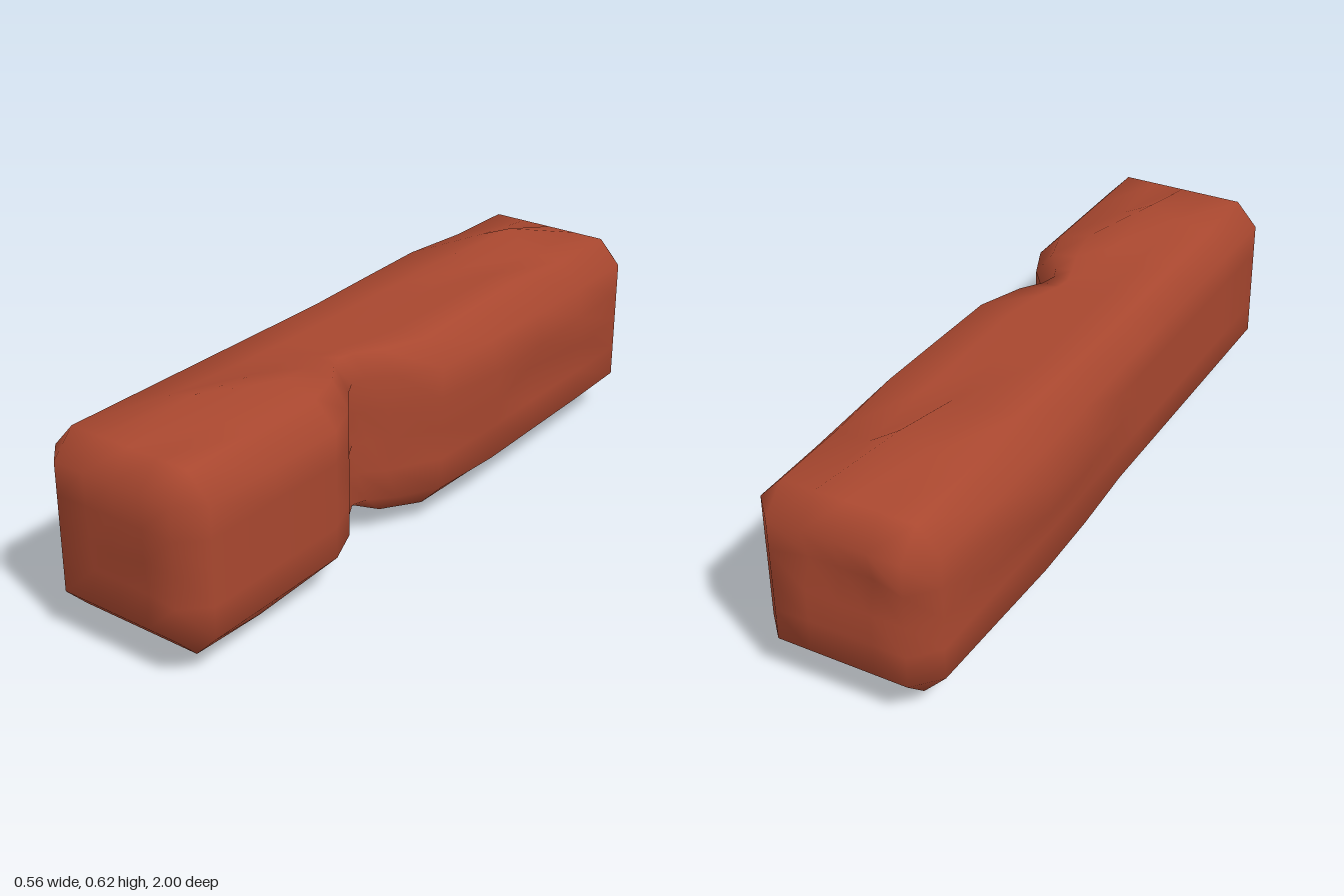
import * as THREE from 'three';
import { mergeVertices } from 'three/addons/utils/BufferGeometryUtils.js';

const LEVELS = [0.13, 0.22, 0.31, 0.4, 0.49]; // heights of the side points
const ACROSS = [0.185, 0.09, 0, -0.09, -0.185]; // x of the top points

// Bulge of the sides by level, from the bottom up
const RIGHT = [0.45, 0.2, 1, 0.9, 0.1];
const DENTED = [0.45, 0.1, -0.9, 1.1, 0.2];
const LEFT = [0.45, 0.1, 0.8, 1, 0.1];

// Swell of the top and bottom, from +x to -x
const FLAT = [0, 0, 0, 0, 0];
const PEAK = [0, 0, 1, 0.4, 0];
const SHOULDER = [0, 1, 0.6, 0.2, 0];
const EDGES = [1, 0.5, 0.6, 0.5, 1];
const KEEL = [0.1, 0.4, 1, 0.4, 0.1];
const TWIN = [0.15, 1, 0.05, 1, 0.15];

// Rings along the bar, front to back: z, limit of the +x side, lift of the
// notch floor, and [amount, weights] for the sides, top and bottom
const STATIONS = [
  { z: 0.92 },
  { z: 0.69, top: [0.045, PEAK], bottom: [0.06, TWIN] },
  { z: 0.46, top: [0.026, SHOULDER] },
  { z: 0.35, limit: 0.205, lift: 0.025, top: [0.012, SHOULDER] },
  { z: 0.28, limit: 0.14, lift: 0.045, top: [0.008, SHOULDER] },
  { z: 0.235, limit: 0.115, lift: 0.05 },
  { z: 0.19, limit: 0.13, lift: 0.045 },
  { z: 0.13, limit: 0.185, lift: 0.02 },
  { z: 0 },
  { z: -0.23, right: [0.03, RIGHT], left: [0.024, LEFT], top: [0.008, EDGES], bottom: [0.042, KEEL] },
  { z: -0.46, right: [0.022, DENTED], left: [0.032, LEFT], top: [0.015, EDGES], bottom: [0.06, KEEL] },
  { z: -0.7, right: [0.015, RIGHT], left: [0.015, LEFT], top: [0.06, PEAK] },
  { z: -0.93 },
];

// One chamfered cross-section, counter-clockwise from the lower +x corner
function section({ z, limit = 0.25, lift = 0, right = [0, FLAT], left = [0, FLAT], top = [0, FLAT], bottom = [0, FLAT] }) {
  const points = [];
  const notch = (x) => (x > 0 ? (x * limit) / 0.25 : x);
  const swell = ([amount, weights], i) => amount * weights[i];
  const rough = limit < 0.2 ? 0.014 : 0; // broken stone inside the notch
  LEVELS.forEach((y, i) => {
    const tooth = i % 2 ? 1 : -1;
    points.push([notch(0.25) + swell(right, i) - (i % 2) * rough, y, z + tooth * rough]);
  });
  ACROSS.forEach((x, i) => points.push([notch(x), 0.56 + swell(top, i), z]));
  for (let i = 4; i >= 0; i--) points.push([-0.248 - swell(left, i), LEVELS[i], z]);
  for (let i = 4; i >= 0; i--) {
    points.push([notch(ACROSS[i]), 0.063 - swell(bottom, i) + (ACROSS[i] > 0 ? lift : 0), z]);
  }
  return points;
}

// Rim of an end face: the section drawn in to the bevel
function rim(base, z) {
  return base.map(([x, y]) => [
    THREE.MathUtils.clamp(x, -0.185, 0.185), THREE.MathUtils.clamp(y, 0.13, 0.49), z,
  ]);
}

// Uneven end face on a grid; depth(row, column) gives the inner points' z
function endFace(rimZ, depth) {
  return LEVELS.map((y, r) => ACROSS.map((x, c) => {
    const inner = r > 0 && r < 4 && c > 0 && c < 4;
    return [x, y, inner ? depth(r, c) : rimZ];
  }));
}

// Joins rows of points by triangles, leaving out those pinched to a line
function skin(rows, closed, flip, positions) {
  const n = rows[0].length;
  const add = (...corners) => {
    const [a, b, c] = corners.map((p) => new THREE.Vector3(...p));
    if (new THREE.Triangle(a, b, c).getArea() < 1e-7) return;
    (flip ? [a, c, b] : [a, b, c]).forEach((v) => positions.push(v.x, v.y, v.z));
  };
  for (let i = 0; i < rows.length - 1; i++) {
    for (let j = 0; j < (closed ? n : n - 1); j++) {
      const k = (j + 1) % n;
      const a = rows[i][j], b = rows[i][k], c = rows[i + 1][j], d = rows[i + 1][k];
      add(a, c, b);
      add(b, c, d);
    }
  }
}

export function createModel() {
  const group = new THREE.Group();
  group.name = 'notchedBrick';

  const body = STATIONS.map(section);
  const positions = [];
  skin([rim(body[0], 0.985), ...body, rim(body[body.length - 1], -1)], true, false, positions);

  // Front face with a small boss above a dent, back face with a groove
  const frontDepth = (r, c) => (r === 2 && c === 2 ? 1 : r === 1 ? 0.972 : 0.982);
  skin(endFace(0.985, frontDepth), false, false, positions);
  skin(endFace(-1, (r) => (r === 3 ? -0.975 : -0.998)), false, true, positions);

  // Worn bar with a bite out of its left side
  const soup = new THREE.BufferGeometry();
  soup.setAttribute('position', new THREE.Float32BufferAttribute(positions, 3));
  const geometry = mergeVertices(soup, 1e-4);
  geometry.computeVertexNormals();
  const bar = new THREE.Mesh(geometry, new THREE.MeshStandardMaterial({ color: 0xa8472f }));
  bar.name = 'brickBody';
  group.add(bar);
  return group;
}
